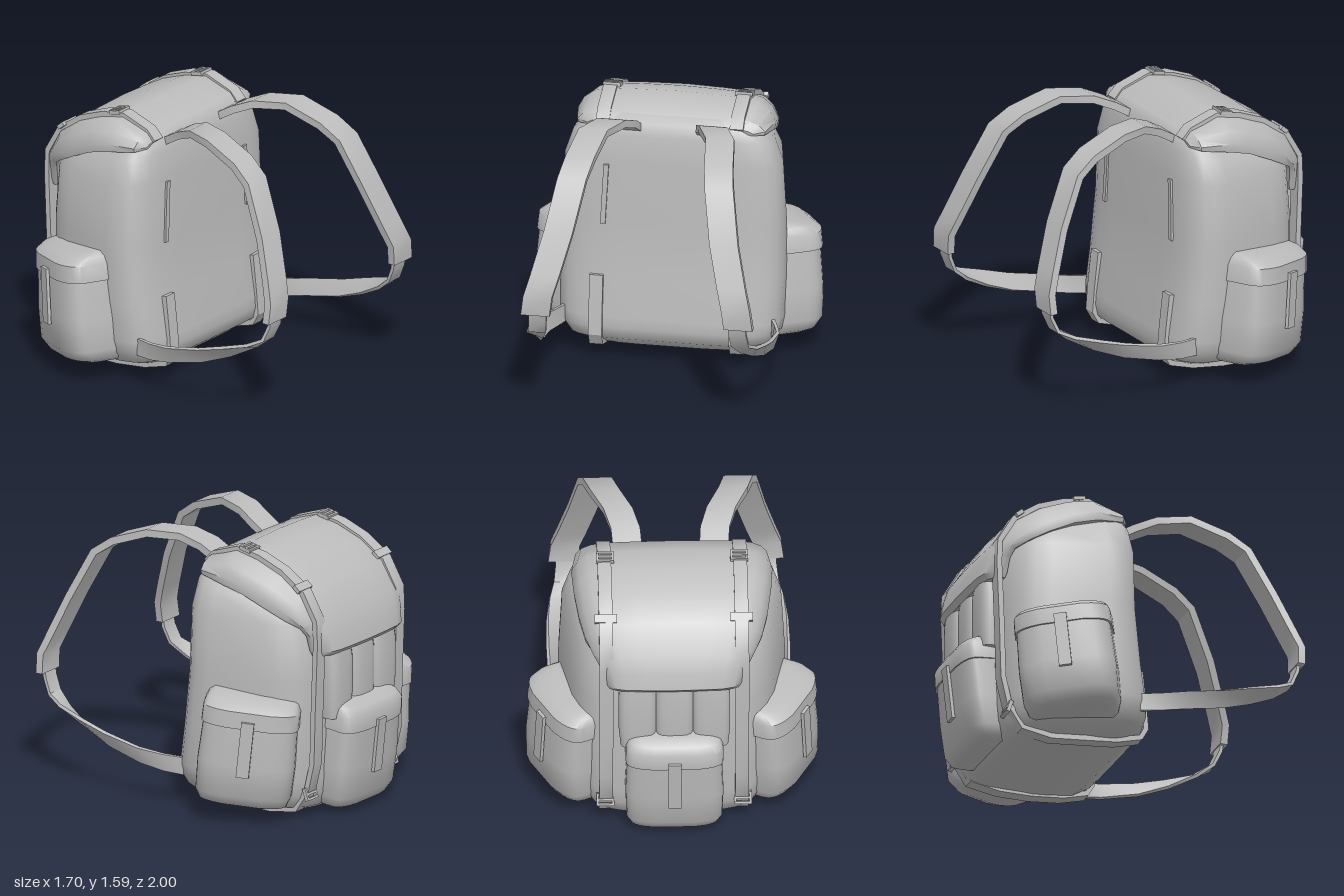
import * as THREE from 'three';
import { toCreasedNormals } from 'three/addons/utils/BufferGeometryUtils.js';

const canvas = new THREE.MeshStandardMaterial({ color: 0xbcbcbc, side: THREE.DoubleSide });
canvas.name = 'grey canvas';

function add(parent, geometry, name) {
  const mesh = new THREE.Mesh(geometry, canvas);
  mesh.name = name;
  parent.add(mesh);
  return mesh;
}

// Closed skin through rings of [x, y, z] points, capped at both ends
function loft(rings, crease = 0.7) {
  const n = rings[0].length, last = (rings.length - 1) * n;
  const pos = rings.flat(2), idx = [];
  for (let r = 0; r < rings.length - 1; r++) {
    for (let i = 0; i < n; i++) {
      const a = r * n + i, b = r * n + (i + 1) % n;
      idx.push(a, b, b + n, a, b + n, a + n);
    }
  }
  [rings[0], rings[rings.length - 1]].forEach((ring, end) => {
    const c = pos.length / 3, base = end ? last : 0;
    for (let k = 0; k < 3; k++) pos.push(ring.reduce((s, p) => s + p[k], 0) / n);
    for (let i = 0; i < n; i++) {
      const a = base + i, b = base + (i + 1) % n;
      idx.push(c, ...(end ? [a, b] : [b, a]));
    }
  });
  // Turn the skin the right way out
  const v = i => new THREE.Vector3().fromArray(pos, i * 3);
  let volume = 0;
  for (let i = 0; i < idx.length; i += 3) volume += v(idx[i]).dot(v(idx[i + 1]).cross(v(idx[i + 2])));
  if (volume < 0) idx.reverse();
  const g = new THREE.BufferGeometry();
  g.setAttribute('position', new THREE.Float32BufferAttribute(pos, 3));
  g.setIndex(idx);
  return toCreasedNormals(g, crease);
}

// Rounded rectangular outline; taper narrows the z0 end, tilt raises the z1 end,
// bulge swells the middle of the z1 end
function outline(w, z1, z0, y, { taper = 0, tilt = 0, bulge = 0, power = 0.4, n = 28 } = {}) {
  return Array.from({ length: n }, (_, i) => {
    const a = (i + 0.5) / n * Math.PI * 2;
    const soft = t => Math.sign(t) * Math.abs(t) ** power;
    const s = soft(Math.sin(a)), c = soft(Math.cos(a)), t = (1 - s) / 2;
    const swell = s > 0 ? bulge * s * (1 - c * c) : 0;
    return [w * c * (1 - taper * t * t), y + tilt * s, z0 + (z1 - z0) * (1 - t) + swell];
  });
}

// Flat band along points [x, y, z, roll]
function band(points, width, thick, mirror = 1) {
  const at = points.map(p => new THREE.Vector3(p[0] * mirror, p[1], p[2]));
  return loft(at.map((p, i) => {
    const along = at[Math.min(i + 1, at.length - 1)].clone().sub(at[Math.max(i - 1, 0)]);
    const roll = points[i][3] || 0;
    const side = new THREE.Vector3(Math.cos(roll) * mirror, Math.sin(roll), 0);
    const up = along.cross(side).normalize().multiplyScalar(thick / 2);
    side.multiplyScalar(width / 2);
    return [[1, 1], [-1, 1], [-1, -1], [1, -1]].map(([a, b]) =>
      p.clone().addScaledVector(side, a).addScaledVector(up, b).toArray());
  }), 0.5);
}

// Pocket with an overhanging lid and a closing tab, outward along local +z
function pocket(name, w, h, d, bulge) {
  const g = new THREE.Group();
  g.name = name;
  g.rotation.order = 'YXZ';
  const ring = ([y, sw, sd]) => outline(w * sw, d * sd, -0.08, h * y, { power: 0.38, bulge });
  add(g, loft([[0, 0.8, 0.6], [0.03, 0.92, 0.8], [0.12, 1, 0.97], [0.4, 1.02, 1],
    [0.8, 0.98, 0.97]].map(ring), 0.9), name + 'Bag');
  add(g, loft([[0.75, 1.02, 1.02], [0.9, 1.01, 1], [0.96, 0.95, 0.8],
    [1, 0.83, 0.4]].map(ring)), name + 'Lid');
  const tab = add(g, new THREE.BoxGeometry(0.075, h * 0.5, 0.02), name + 'Tab');
  tab.position.set(0, h * 0.57, d * 1.01 + bulge + 0.003);
  return g;
}

// Ladder buckle made of two rails and three bars
function buckle(x, y, z, tilt) {
  const g = new THREE.Group();
  g.name = 'buckle';
  for (const s of [-1, 1]) {
    add(g, new THREE.BoxGeometry(0.014, 0.022, 0.075), 'buckleRail').position.x = s * 0.045;
  }
  for (const s of [-1, 0, 1]) {
    add(g, new THREE.BoxGeometry(0.1, 0.024, 0.014), 'buckleBar').position.z = s * 0.031;
  }
  g.position.set(x, y, z);
  g.rotation.x = tilt;
  return g;
}

export function createModel() {
  const model = new THREE.Group();
  model.name = 'backpack';

  // Main bag: [half width, front z, rear z, y, tilt]
  add(model, loft([
    [0.3, -0.28, -0.62, 0.01, 0.01], [0.47, -0.02, -0.7, 0.045, 0.025],
    [0.61, 0.07, -0.75, 0.095, 0.04], [0.66, 0.085, -0.78, 0.17, 0.035], [0.675, 0.08, -0.79, 0.25, 0.02],
    [0.68, 0.045, -0.8, 0.5, 0], [0.675, 0.01, -0.8, 0.85, 0],
    [0.655, 0.005, -0.78, 1.2, 0.02], [0.605, -0.015, -0.74, 1.32, 0.06],
    [0.54, -0.035, -0.66, 1.4, 0.055], [0.44, -0.075, -0.54, 1.475, 0.025],
  ].map(([w, z1, z0, y, tilt]) => outline(w, z1, z0, y, { taper: 0.26, tilt })), 1.2), 'mainBag');

  // Top lid: [z, y, half width, edge drop in z, edge drop in y]
  const lid = [
    [-0.05, 1.465, 0.49, -0.01, -0.045], [-0.09, 1.51, 0.555, -0.01, -0.1],
    [-0.27, 1.573, 0.585, 0, -0.19], [-0.42, 1.545, 0.575, 0.01, -0.2],
    [-0.59, 1.485, 0.55, 0.03, -0.21], [-0.74, 1.385, 0.515, 0.07, -0.17],
    [-0.85, 1.22, 0.465, 0.11, -0.05], [-0.89, 1.12, 0.43, 0.13, 0],
    [-0.91, 1.03, 0.41, 0.14, 0], [-0.88, 1.0, 0.4, 0.1, 0],
  ];
  const across = [[0, -0.03], [0.4, 0], [0.68, 0.04], [0.84, 0.16], [0.94, 0.4], [1, 0.75], [0.99, 1]];
  add(model, loft(lid.map(([z, y, w, dz, dy]) => {
    const half = across.map(([x, d]) => [x * w, y + dy * d, z + dz * d]);
    return [...half, ...half.slice(1).reverse().map(([x, py, pz]) => [-x, py, pz])];
  })), 'topLid');

  // Padded columns under the rear of the lid
  for (const x of [-0.215, 0, 0.215]) {
    const ring = (s, y) => outline(0.11 * s, -0.75, -0.8 - 0.088 * s, y, { power: 0.6, n: 16 })
      .map(p => [p[0] + x, p[1], p[2]]);
    add(model, loft([ring(0.9, 0.6), ring(1, 0.72), ring(1, 0.95), ring(0.9, 1.04)]), 'rearPadding');
  }

  // Rear and side pockets
  const rear = pocket('rearPocket', 0.28, 0.66, 0.165, 0.025);
  rear.position.set(0, 0.04, -0.74);
  rear.rotation.set(0.11, Math.PI, 0);
  model.add(rear);
  for (const s of [-1, 1]) {
    const p = pocket('sidePocket', 0.28, 0.67, 0.25, 0.045);
    p.position.set(s * 0.53, 0.1, -0.395);
    p.rotation.set(0, s * 2.07, -s * 0.1);
    model.add(p);
  }

  for (const s of [-1, 1]) {
    // Compression strap around the bag
    const loop = [[0.045, 0.52], [0.07, 0.3], [0.082, 0.16], [0.05, 0.1], [-0.1, 0.058], [-0.3, 0.035],
      [-0.5, 0.022], [-0.68, 0.05], [-0.765, 0.18], [-0.805, 0.35], [-0.815, 0.7], [-0.83, 1.08],
      [-0.825, 1.22], [-0.735, 1.375], [-0.58, 1.48], [-0.42, 1.54], [-0.27, 1.565], [-0.1, 1.505], [-0.05, 1.45]];
    add(model, band(loop.map(([z, y], i) => [i < 6 ? 0.415 : 0.395, y, z]), 0.08, 0.032, s), 'compressionStrap');
    model.add(buckle(s * 0.39, 1.572, -0.33, -0.2));
    model.add(buckle(s * 0.4, 0.16, -0.77, -1.25));
    const keeper = add(model, new THREE.BoxGeometry(0.13, 0.025, 0.05), 'strapKeeper');
    keeper.position.set(s * 0.395, 1.405, -0.71);
    keeper.rotation.x = -0.7;

    // Raised seam on the back panel
    add(model, band([[0.365, 1.2, 0], [0.375, 1.02, 0], [0.385, 0.83, 0.005]], 0.03, 0.025, s), 'panelSeam');

    // Padded shoulder strap
    add(model, band([[0.25, 1.42, -0.06], [0.26, 1.49, 0.06], [0.3, 1.54, 0.18], [0.375, 1.547, 0.36],
      [0.41, 1.467, 0.58], [0.435, 1.385, 0.695], [0.49, 1.1, 0.835], [0.55, 0.87, 0.925],
      [0.585, 0.75, 0.97], [0.6, 0.635, 0.965]], 0.17, 0.045, s), 'shoulderStrap');

    // Thin adjusting strap twisting back to the lower side
    add(model, band([[0.59, 0.68, 0.965], [0.59, 0.6, 0.955], [0.6, 0.51, 0.915], [0.63, 0.45, 0.82, 0.3],
      [0.66, 0.385, 0.66, 0.75], [0.675, 0.325, 0.48, 1.05], [0.68, 0.275, 0.25, 1.25],
      [0.65, 0.25, 0.1, 1.45], [0.615, 0.24, -0.02, 1.57]], 0.105, 0.02, s), 'adjustingStrap');
  }
  return model;
}
